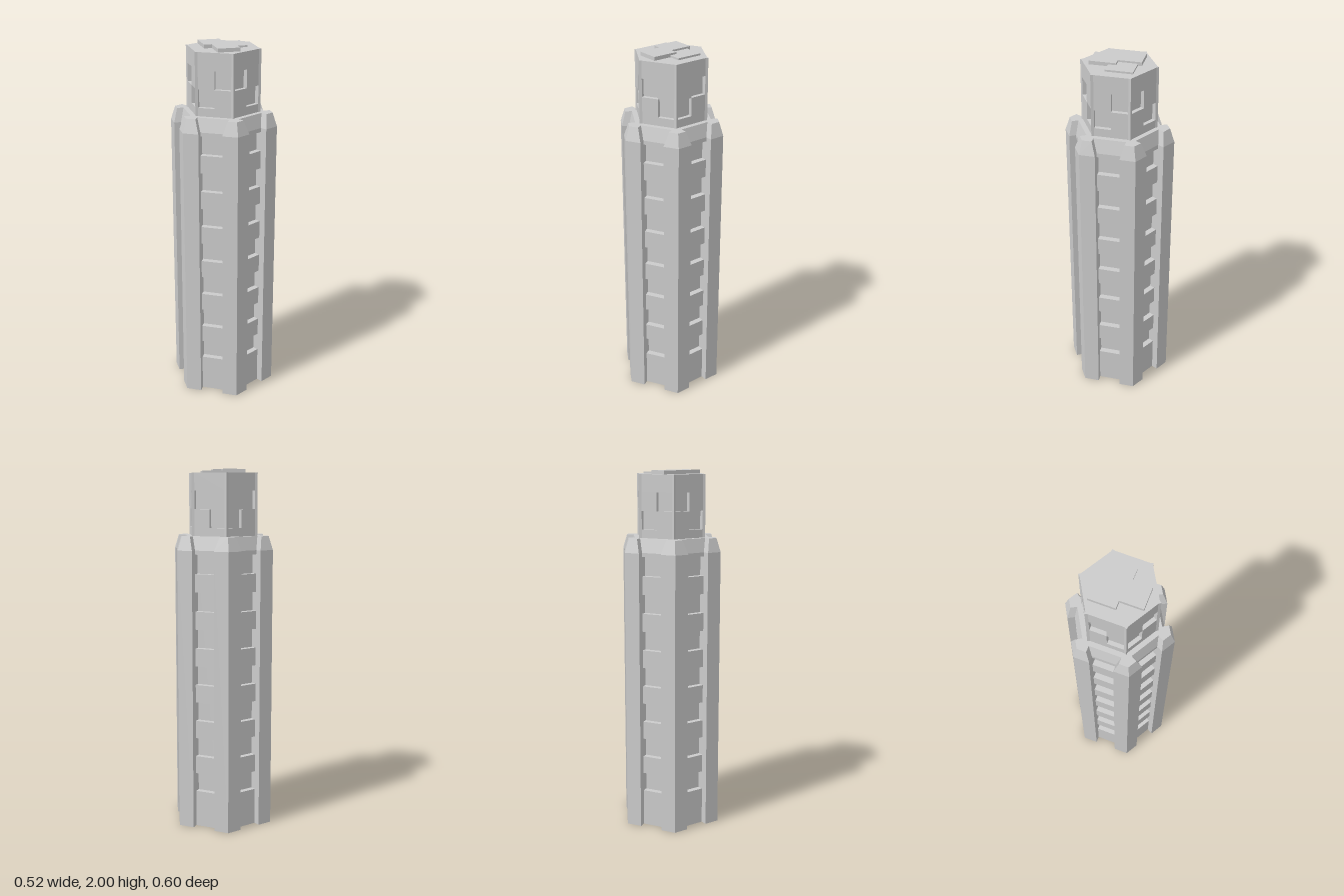
import * as THREE from 'three';

const material = new THREE.MeshStandardMaterial({ color: 0xcccccc, flatShading: true });

// Six-sided outline: profile(k) lists [distance from axis, offset along the face] for face k
function hexOutline(profile) {
  const points = [];
  for (let k = 0; k < 6; k++) {
    const c = Math.cos(k * Math.PI / 3), s = Math.sin(k * Math.PI / 3);
    for (const [d, t] of profile(k)) points.push([d * c - t * s, d * s + t * c]);
  }
  return points;
}

const toShape = (points) => new THREE.Shape(points.map(([x, z]) => new THREE.Vector2(x, -z)));

// Upright prism over an outline in x, z
function prism(name, points, y0, y1) {
  const geometry = new THREE.ExtrudeGeometry(toShape(points), { depth: y1 - y0, bevelEnabled: false });
  geometry.rotateX(-Math.PI / 2).translate(0, y0, 0);
  const mesh = new THREE.Mesh(geometry, material);
  mesh.name = name;
  return mesh;
}

// Sloping band between two outlines of equal length
function band(name, lower, upper, y0, y1) {
  const v = [];
  lower.forEach((p, i) => {
    const j = (i + 1) % lower.length;
    const a = [lower[i][0], y0, lower[i][1]], b = [lower[j][0], y0, lower[j][1]];
    const c = [upper[i][0], y1, upper[i][1]], d = [upper[j][0], y1, upper[j][1]];
    v.push(...a, ...c, ...b, ...b, ...c, ...d);
  });
  const geometry = new THREE.BufferGeometry();
  geometry.setAttribute('position', new THREE.Float32BufferAttribute(v, 3));
  geometry.computeVertexNormals();
  const mesh = new THREE.Mesh(geometry, material);
  mesh.name = name;
  return mesh;
}

const rect = (x0, x1, z0, z1) => [[x0, z0], [x1, z0], [x1, z1], [x0, z1]];

// Hexagon with a corner pillar at each vertex and a bay at distance d between them
const pillared = (outer, corner, bay, half) => hexOutline(() => [
  [outer, -half], [bay, -half], [bay, half], [outer, half], [outer, corner],
]);

export function createModel() {
  const model = new THREE.Group();

  // Main shaft with corner pillars and recessed bays
  const shaftTop = 1.565, roofY = 1.64;
  model.add(prism('shaft', pillared(0.26, 0.15, 0.19, 0.065), 0, shaftTop));

  // Solid base, projecting floors and top lintel in every bay
  const floors = [[0, 0.205]];
  for (let i = 0; i < 6; i++) floors.push([0.31 + i * 0.2055, 0.41 + i * 0.2055]);
  floors.push([1.543, shaftTop]);
  const bays = new THREE.Group();
  bays.name = 'bayFloors';
  for (let k = 0; k < 6; k++) {
    const bay = new THREE.Group();
    bay.name = 'bay';
    bay.rotation.y = -k * Math.PI / 3;
    for (const [y0, y1] of floors) {
      const slab = new THREE.Mesh(new THREE.BoxGeometry(0.042, y1 - y0, 0.13), material);
      slab.name = 'floorSlab';
      slab.position.set(0.201, (y0 + y1) / 2, 0);
      bay.add(slab);
    }
    bays.add(bay);
  }
  model.add(bays);

  // Chamfered crown and flat roof
  const roofOutline = pillared(0.238, 0.1374, 0.202, 0.087);
  model.add(band('crownChamfer', pillared(0.26, 0.15, 0.222, 0.065), roofOutline, shaftTop, roofY));
  const roof = new THREE.Mesh(new THREE.ShapeGeometry(toShape(roofOutline)), material);
  roof.name = 'roof';
  roof.geometry.rotateX(-Math.PI / 2).translate(0, roofY, 0);
  model.add(roof);

  // Upper tower with thin corner ribs; window rows are notched on alternating halves
  const tower = new THREE.Group();
  tower.name = 'upperTower';
  const wall = 0.175, back = 0.1525, w = 0.09;
  const rib = [0.18, 0.104];
  const plain = hexOutline(() => [[wall, -w], [wall, w], rib]);
  const notched = (sign) => hexOutline((k) => (sign * (k % 2 ? -1 : 1) > 0
    ? [[wall, -w], [wall, 0], [back, 0], [back, w], [wall, w], rib]
    : [[wall, -w], [back, -w], [back, 0], [wall, 0], [wall, w], rib]));
  tower.add(prism('towerBase', plain, roofY, 1.685));
  tower.add(prism('lowerWindows', notched(1), 1.685, 1.785));
  tower.add(prism('upperWindows', notched(-1), 1.785, 1.885));
  tower.add(prism('towerTop', plain, 1.885, 1.98));
  model.add(tower);

  // Stepped plates on the tower roof
  model.add(prism('roofPlate', [
    [-0.11, -0.12], [0.01, -0.12], [0.01, 0.004], [0.053, 0.004],
    [0.053, 0.147], [-0.068, 0.147], [-0.068, 0.024], [-0.11, 0.024],
  ], 1.98, 2));
  model.add(prism('lowRoofPlate', rect(0.005, 0.12, -0.1, 0.045), 1.98, 1.99));

  return model;
}
